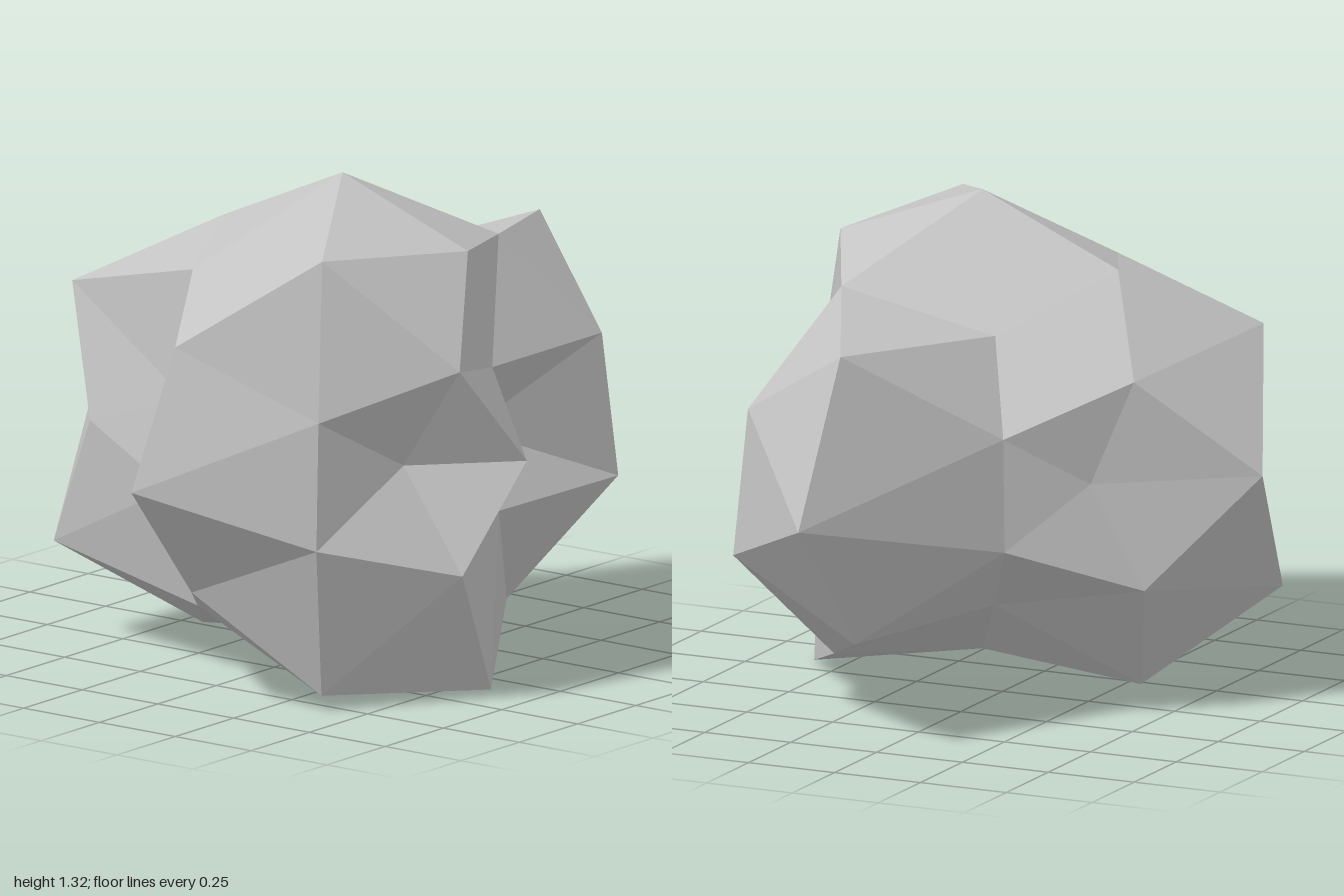
import * as THREE from 'three';

// Distance of each rock corner from the core, grouped by which axes its direction uses
// (for three-axis directions, the last letter is the dominant axis).
// Order inside a group: signs of x, y, z, plus before minus, last axis changing fastest.
const RADII = {
  x: [0.608, 0.815],
  y: [0.856, 0.688],
  z: [0.905, 1.095],
  yz: [0.843, 0.993, 0.76, 0.892],
  xy: [0.787, 0.932, 0.75, 0.878],
  xz: [0.452, 0.33, 0.664, 0.53],
  xyzX: [0.677, 0.472, 0.693, 0.493, 0.852, 0.67, 0.91, 0.716],
  xyzY: [0.885, 0.742, 0.915, 0.78, 0.711, 0.575, 0.69, 0.55],
  xyzZ: [0.645, 0.762, 0.7, 0.81, 0.465, 0.58, 0.51, 0.615],
};

function radiusFor(v) {
  const axes = ['x', 'y', 'z'].filter((a) => Math.abs(v[a]) > 0.01);
  const index = axes.reduce((n, a) => n * 2 + (v[a] < 0 ? 1 : 0), 0);
  let key = axes.join('');
  if (axes.length === 3) {
    key += axes.reduce((m, a) => (Math.abs(v[a]) > Math.abs(v[m]) ? a : m)).toUpperCase();
  }
  return RADII[key][index];
}

export function createModel() {
  const group = new THREE.Group();
  group.name = 'boulder';

  const stone = new THREE.MeshStandardMaterial({ color: 0xc4c4c4, flatShading: true });
  stone.name = 'stone grey';

  // Faceted ball with every corner pushed in or out, then squashed in height
  const geometry = new THREE.IcosahedronGeometry(1, 1);
  const position = geometry.attributes.position;
  const v = new THREE.Vector3();
  for (let i = 0; i < position.count; i++) {
    v.fromBufferAttribute(position, i).normalize();
    v.multiplyScalar(radiusFor(v));
    position.setXYZ(i, v.x + 0.105, v.y * 0.8 + 0.635, v.z + 0.095);
  }
  geometry.computeVertexNormals();

  const rock = new THREE.Mesh(geometry, stone);
  rock.name = 'rock';
  group.add(rock);
  return group;
}
